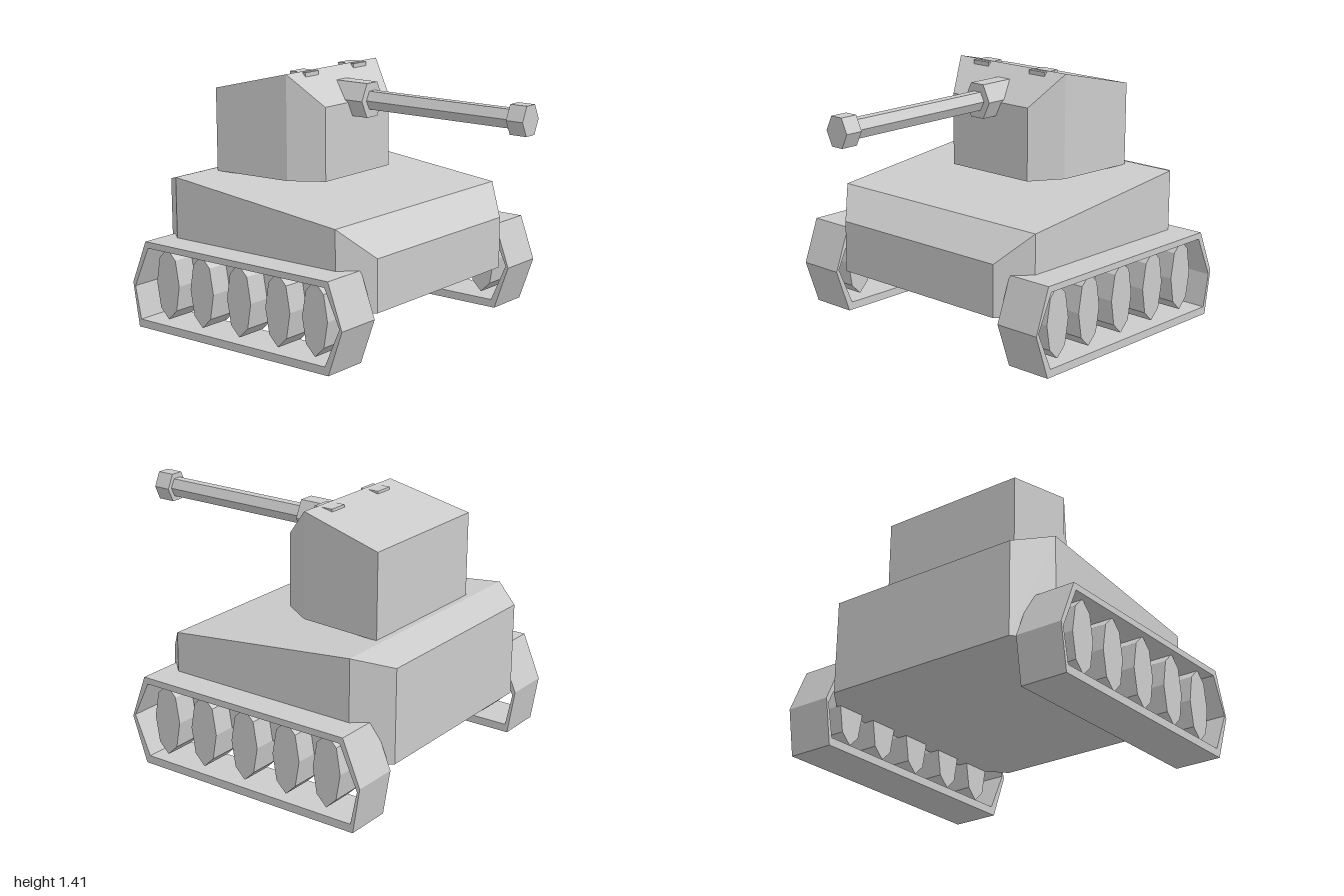
import * as THREE from 'three';

const material = new THREE.MeshStandardMaterial({ color: 0xcccccc, flatShading: true });

function part(name, geometry) {
  const mesh = new THREE.Mesh(geometry, material);
  mesh.name = name;
  return mesh;
}

// Closed body through rectangular sections [z, halfWidth, bottom, top], listed front to back
function loft(sections) {
  const rings = sections.map(([z, w, y0, y1]) => [[-w, y0, z], [w, y0, z], [w, y1, z], [-w, y1, z]]);
  const positions = [];
  const quad = (a, b, c, d) => positions.push(...a, ...b, ...c, ...a, ...c, ...d);
  for (let s = 0; s < rings.length - 1; s++) {
    const a = rings[s], b = rings[s + 1];
    for (let i = 0; i < 4; i++) {
      const j = (i + 1) % 4;
      quad(a[i], b[i], b[j], a[j]);
    }
  }
  quad(...rings[0]);
  quad(...[...rings[rings.length - 1]].reverse());
  const geometry = new THREE.BufferGeometry();
  geometry.setAttribute('position', new THREE.Float32BufferAttribute(positions, 3));
  geometry.computeVertexNormals();
  return geometry;
}

// Six-sided bar along z with flat top and bottom
function hexBar(halfWidth, halfHeight, z0, z1) {
  return new THREE.CylinderGeometry(1, 1, z1 - z0, 6)
    .rotateY(Math.PI / 6)
    .rotateX(Math.PI / 2)
    .scale(halfWidth, halfHeight / Math.cos(Math.PI / 6), 1)
    .translate(0, 1.25, (z0 + z1) / 2);
}

const toPoints = (list) => list.map(([z, y]) => new THREE.Vector2(z, y));

// Hollow track belt: side outline (z, y) extruded across its width
function trackBelt(width) {
  const shape = new THREE.Shape(toPoints([
    [0.39, 0], [0.48, 0.25], [0.39, 0.495], [-0.895, 0.495], [-1, 0.25], [-0.96, 0],
  ]));
  shape.holes.push(new THREE.Path(toPoints([
    [0.367, 0.045], [0.463, 0.26], [0.367, 0.46], [-0.877, 0.46], [-0.983, 0.23], [-0.945, 0.045],
  ])));
  return new THREE.ExtrudeGeometry(shape, { depth: width, bevelEnabled: false })
    .translate(0, 0, -width / 2)
    .rotateY(-Math.PI / 2);
}

export function createModel() {
  const model = new THREE.Group();
  model.name = 'tank';

  // Hull with sloped nose and chamfered corners
  model.add(part('hull', loft([
    [0.455, 0.56, 0.265, 0.555],
    [0.3, 0.71, 0.265, 0.715],
    [-0.815, 0.715, 0.265, 0.835],
    [-0.995, 0.57, 0.265, 0.78],
  ])));

  // Turret, ridge near the front
  const turret = new THREE.Group();
  turret.name = 'turret';
  turret.add(part('turretBody', loft([
    [-0.118, 0.277, 0.828, 1.235],
    [-0.295, 0.39, 0.828, 1.41],
    [-0.775, 0.425, 0.828, 1.295],
  ])));
  for (const side of [-1, 1]) {
    turret.add(part('turretHatch',
      new THREE.BoxGeometry(0.11, 0.025, 0.11).translate(side * 0.207, 1.393, -0.322)));
  }
  model.add(turret);

  // Gun
  const gun = new THREE.Group();
  gun.name = 'gun';
  gun.add(part('gunMantlet', hexBar(0.09, 0.094, -0.25, -0.017)));
  gun.add(part('gunBarrel', hexBar(0.05, 0.05, -0.05, 0.92)));
  gun.add(part('gunMuzzle', hexBar(0.075, 0.079, 0.9, 1)));
  model.add(gun);

  // Tracks with tall eight-sided wheels
  for (const side of [-1, 1]) {
    const track = new THREE.Group();
    track.name = side > 0 ? 'leftTrack' : 'rightTrack';
    track.position.x = side * 0.748;
    track.add(part('trackBelt', trackBelt(0.265)));
    for (const z of [0.27, 0.02, -0.25, -0.517, -0.77]) {
      track.add(part('roadWheel',
        new THREE.CylinderGeometry(1, 1, 0.185, 8)
          .rotateZ(Math.PI / 2)
          .scale(1, 0.2, 0.084)
          .translate(0, 0.267, z)));
    }
    model.add(track);
  }

  return model;
}
